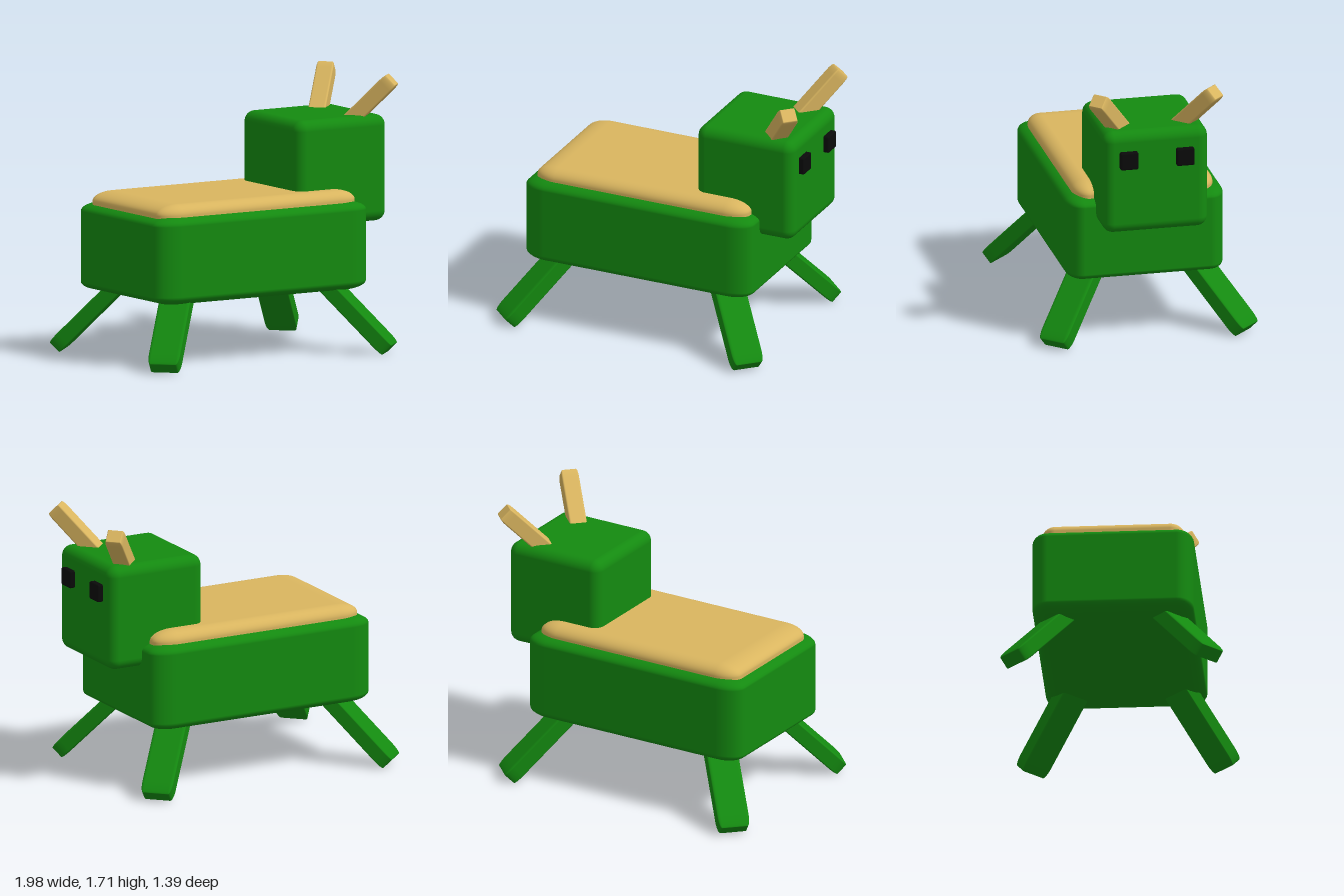
import * as THREE from 'three';
import { RoundedBoxGeometry } from 'three/addons/geometries/RoundedBoxGeometry.js';

const GREEN = new THREE.MeshStandardMaterial({ color: 0x148a10 });
const GOLD = new THREE.MeshStandardMaterial({ color: 0xd9b55f });
const BLACK = new THREE.MeshStandardMaterial({ color: 0x0a0a0a });

// Soft-edged blocks, stretched to size so the rounding stretches with them
const block = new RoundedBoxGeometry(1, 1, 1, 5, 0.1);
const cushion = new RoundedBoxGeometry(1, 0.3, 1, 6, 0.1);

function part(name, geometry, material, size, position) {
  const mesh = new THREE.Mesh(geometry, material);
  mesh.name = name;
  mesh.scale.set(...size);
  mesh.position.set(...position);
  return mesh;
}

// A bar that ends at `tip` and points along `dir`; its width stays horizontal
function bar(name, material, width, length, thickness, tip, dir) {
  const along = new THREE.Vector3(...dir).normalize();
  const across = new THREE.Vector3(along.z, 0, -along.x).normalize();
  const depth = new THREE.Vector3().crossVectors(across, along);
  const mesh = part(name, block, material, [width, length, thickness], tip);
  mesh.quaternion.setFromRotationMatrix(new THREE.Matrix4().makeBasis(across, along, depth));
  mesh.position.addScaledVector(along, -length / 2);
  return mesh;
}

export function createModel() {
  const model = new THREE.Group();
  model.name = 'hornedAnimalStool';

  // Body and seat pad
  model.add(part('body', block, GREEN, [1.57, 0.555, 1.01], [-0.07, 0.678, 0]));
  model.add(part('seatPad', cushion, GOLD, [1.46, 0.65, 0.9], [-0.07, 0.928, 0]));

  // Head, facing +x
  model.add(part('head', block, GREEN, [0.67, 0.67, 0.67], [0.605, 1.13, 0]));

  const lean = Math.SQRT2;
  for (const sz of [1, -1]) {
    const side = sz > 0 ? 'Near' : 'Far';

    // Eyes and horns
    model.add(part('eye' + side, block, BLACK, [0.08, 0.112, 0.115], [0.935, 1.285, sz * 0.18]));
    model.add(bar('horn' + side, GOLD, 0.11, 0.5, 0.1,
      [0.937, 1.69, sz * 0.377], [1, lean, sz]));

    // Splayed legs, leaning outwards at 45 degrees
    for (const sx of [1, -1]) {
      model.add(bar((sx > 0 ? 'frontLeg' : 'backLeg') + side, GREEN, 0.2, 0.8, 0.1,
        [-0.07 + sx * 0.837, 0.036, sz * 0.617], [sx, -lean, sz]));
    }
  }
  return model;
}
